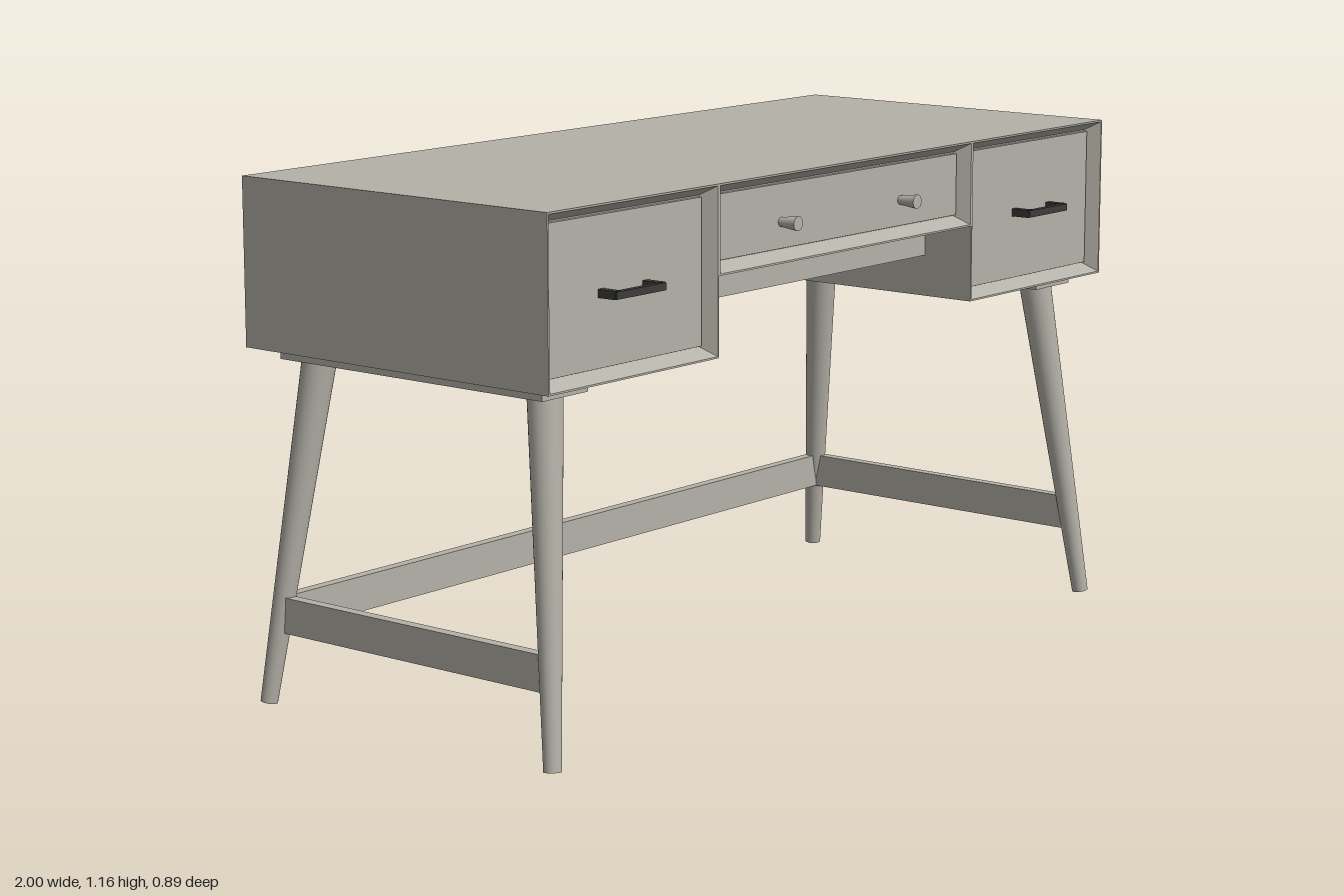
import * as THREE from 'three';

const wood = new THREE.MeshStandardMaterial({ color: 0xb4b1a8 });
wood.name = 'greyWood';
const metal = new THREE.MeshStandardMaterial({ color: 0x3c3c3a });
metal.name = 'darkMetal';

const MID = -0.0125;            // depth centre of the cabinet
const HALF = 0.4325;            // half depth of the cabinet
const RECESS = 0.035;           // how far the drawer bays sit behind the rim
const LIP = 0.004, BEVEL = 0.024;

function add(parent, name, geometry, material = wood) {
  const mesh = new THREE.Mesh(geometry, material);
  mesh.name = name;
  parent.add(mesh);
  return mesh;
}

// Box from its minimum and maximum corners
function block(parent, name, x0, x1, y0, y1, z0, z1, material) {
  const mesh = add(parent, name, new THREE.BoxGeometry(x1 - x0, y1 - y0, z1 - z0), material);
  mesh.position.set((x0 + x1) / 2, (y0 + y1) / 2, (z0 + z1) / 2);
  return mesh;
}

// Rim of a bay: outer skirt, thin front lip, then a bevel sloping inwards
function rimGeometry(x0, x1, y0, y1) {
  const loops = [[0, -RECESS], [0, 0], [LIP, 0], [BEVEL, -RECESS]].map(([i, z]) => [
    [x0 + i, y0 + i, z], [x1 - i, y0 + i, z], [x1 - i, y1 - i, z], [x0 + i, y1 - i, z]]);
  const pos = [];
  for (let l = 0; l < 3; l++) {
    for (let k = 0; k < 4; k++) {
      const n = (k + 1) % 4;
      const [a, b, c, d] = [loops[l][k], loops[l][n], loops[l + 1][n], loops[l + 1][k]];
      pos.push(...a, ...b, ...c, ...a, ...c, ...d);
    }
  }
  const g = new THREE.BufferGeometry();
  g.setAttribute('position', new THREE.Float32BufferAttribute(pos, 3));
  g.computeVertexNormals();
  return g;
}

// Round tapered leg between two points
function taperedLeg(parent, name, top, bottom, rTop, rBottom) {
  const dir = top.clone().sub(bottom);
  const leg = add(parent, name, new THREE.CylinderGeometry(rTop, rBottom, dir.length(), 32));
  leg.position.copy(top).add(bottom).multiplyScalar(0.5);
  leg.quaternion.setFromUnitVectors(new THREE.Vector3(0, 1, 0), dir.normalize());
}

export function createModel() {
  const desk = new THREE.Group();
  desk.name = 'desk';

  // Cabinet core: two deep pedestals joined by a shallow centre
  const outline = new THREE.Shape([
    [-1, 0.79], [-0.46, 0.79], [-0.46, 0.965], [0.46, 0.965],
    [0.46, 0.79], [1, 0.79], [1, 1.16], [-1, 1.16],
  ].map(([x, y]) => new THREE.Vector2(x, y)));
  const depth = 2 * (HALF - RECESS);
  const core = add(desk, 'cabinet',
    new THREE.ExtrudeGeometry(outline, { depth, bevelEnabled: false }));
  core.position.z = MID - depth / 2;
  block(desk, 'centreDrawerBox', -0.46, 0.46, 0.885, 0.97, MID - 0.303, MID + 0.303);

  // Bevelled rims and inset panels on the front and the back
  const bays = [[-1, -0.46, 0.79], [-0.46, 0.46, 0.965], [0.46, 1, 0.79]];
  for (const side of ['front', 'back']) {
    const face = new THREE.Group();
    face.name = side + 'Face';
    face.position.z = MID + (side === 'front' ? HALF : -HALF);
    if (side === 'back') face.rotation.y = Math.PI;
    for (const [x0, x1, y0] of bays) {
      add(face, 'bayRim', rimGeometry(x0, x1, y0, 1.16));
      const g = BEVEL + 0.003;
      block(face, 'drawerPanel', x0 + g, x1 - g, y0 + g, 1.16 - g, -RECESS - 0.005, -RECESS + 0.01);
    }
    desk.add(face);
  }

  for (const s of [-1, 1]) {
    // Bar handle on the pedestal drawer
    const handle = new THREE.Group();
    handle.name = 'barHandle';
    handle.position.set(s * 0.74, 0.972, 0);
    block(handle, 'handleBar', -0.078, 0.078, -0.008, 0.008, 0.431, 0.445, metal);
    for (const e of [-1, 1]) {
      block(handle, 'handlePost', e * 0.07 - 0.009, e * 0.07 + 0.009, -0.009, 0.009, 0.39, 0.44, metal);
    }
    desk.add(handle);

    // Flared knob on the centre drawer
    const knob = add(desk, 'knob', new THREE.CylinderGeometry(0.016, 0.01, 0.05, 24));
    knob.rotation.x = Math.PI / 2;
    knob.position.set(s * 0.217, 1.05, 0.417);

    // Mounting rail, splayed legs and side stretcher
    const rail = block(desk, 'legRail', -0.07, 0.07, 0.765, 0.79, MID - 0.375, MID + 0.375);
    rail.position.x = s * 0.885;
    for (const f of [-1, 1]) {
      taperedLeg(desk, f > 0 ? 'frontLeg' : 'backLeg',
        new THREE.Vector3(s * 0.888, 0.768, MID + f * 0.323),
        new THREE.Vector3(s * 0.976, 0.002, MID + f * 0.413), 0.038, 0.019);
    }
    const stretcher = block(desk, 'sideStretcher', -0.013, 0.013, 0.16, 0.24, MID - 0.38, MID + 0.38);
    stretcher.position.x = s * 0.952;
  }
  block(desk, 'backStretcher', -0.945, 0.945, 0.16, 0.24, MID - 0.402, MID - 0.376);

  return desk;
}
